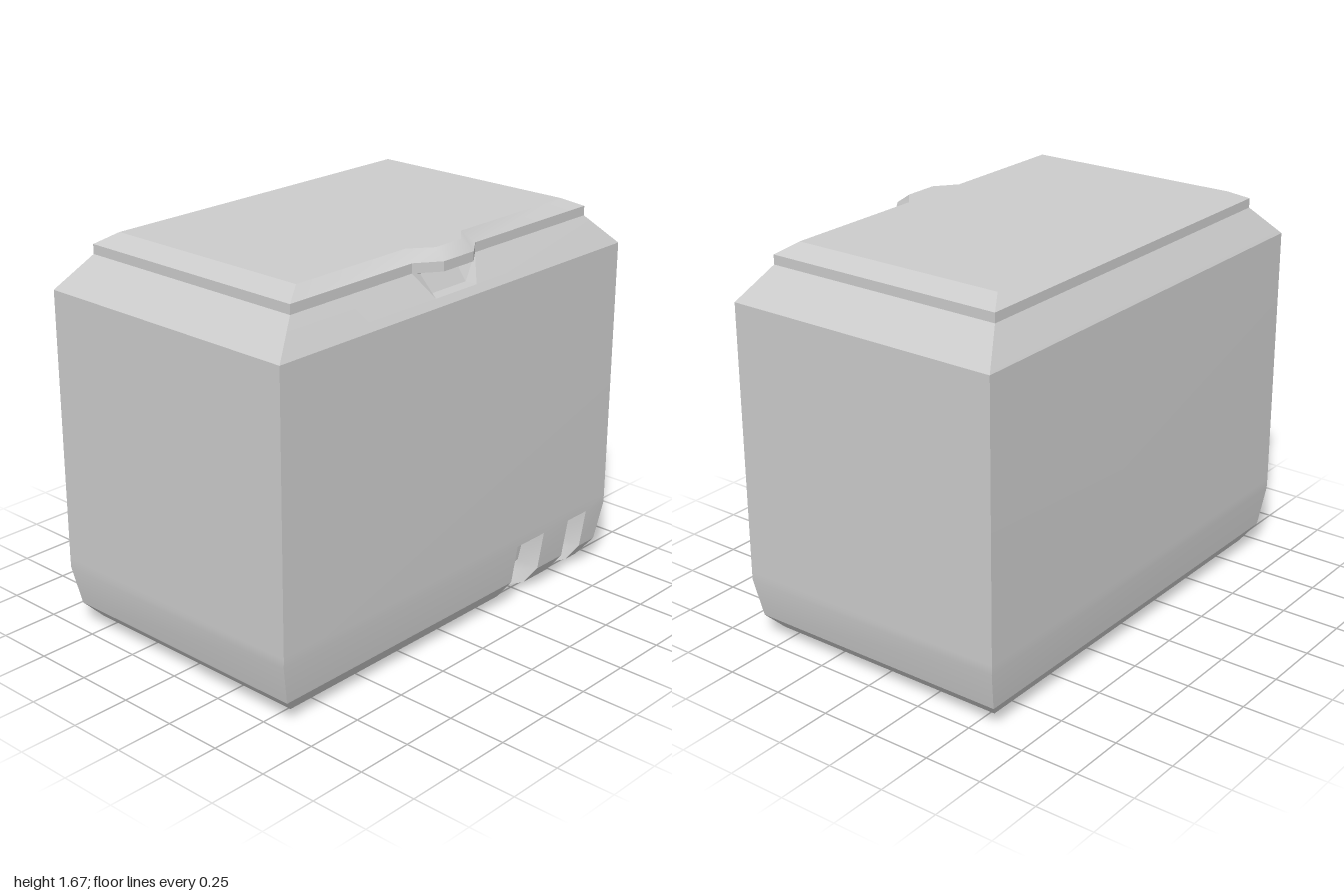
import * as THREE from 'three';
import { toCreasedNormals } from 'three/addons/utils/BufferGeometryUtils.js';

const P = (x, y, z) => new THREE.Vector3(x, y, z);

// Collects faces for one part and turns them into a named mesh.
class Part {
  constructor(name) {
    this.name = name;
    this.pos = [];
  }
  tri(...pts) {
    for (const p of pts) this.pos.push(p.x, p.y, p.z);
  }
  // Joins two rows of points, each running left to right as seen from outside.
  strip(low, high, skip = []) {
    for (let i = 0; i < low.length - 1; i++) {
      if (skip.includes(i)) continue;
      this.tri(low[i], low[i + 1], high[i + 1]);
      this.tri(low[i], high[i + 1], high[i]);
    }
  }
  // Flat horizontal polygon facing up (dir 1) or down (dir -1).
  cap(pts, dir) {
    const flat = pts.map((p) => new THREE.Vector2(p.x, p.z));
    for (const t of THREE.ShapeUtils.triangulateShape(flat, [])) {
      const [a, b, c] = t.map((i) => pts[i]);
      const up = b.clone().sub(a).cross(c.clone().sub(a)).y;
      if (up * dir > 0) this.tri(a, b, c);
      else this.tri(a, c, b);
    }
  }
  mesh() {
    const g = new THREE.BufferGeometry();
    g.setAttribute('position', new THREE.Float32BufferAttribute(this.pos, 3));
    const m = new THREE.Mesh(toCreasedNormals(g, 0.42),
      new THREE.MeshStandardMaterial({ color: 0xcccccc }));
    m.name = this.name;
    return m;
  }
}

// Body cross-sections from bottom to shoulder: y, half width, half depth
const RINGS = [
  [0, 0.82, 0.47], [0.03, 0.9, 0.545], [0.1, 0.965, 0.592], [0.27, 1, 0.612],
  [0.31, 1, 0.613], [1.46, 1, 0.613], [1.49, 0.968, 0.594], [1.59, 0.862, 0.53],
];
const LID = [[1.59, 0.862, 0.53], [1.63, 0.862, 0.53], [1.67, 0.775, 0.475]];

// Right, back and left sides of a rectangular section
const sides = ([y, w, d]) => [P(w, y, d), P(w, y, -d), P(-w, y, -d), P(-w, y, d)];
// Front edge of a section, with extra points at the given x
const front = ([y, w, d], xs = []) => [-w, ...xs, w].map((x) => P(x, y, d));

// Grip slots follow the rounded lower corner
const SHIFT = [-0.07, -0.045, -0.01, 0, 0];
const slotX = (i) => [0.39, 0.57, 0.74, 0.87].map((x) => x + SHIFT[i]);
const SLOT_IN = [[0, 0.45], [0.05, 0.425], [0.11, 0.49], [0.23, 0.51]]; // y, z of the slot back
const SLOTS = [{ at: 0, inset: 0.06 }, { at: 2, inset: 0.04 }];

// One slot row: outer left, inner left, inner right, outer right
function slotRow(slot, i) {
  const [l, r] = slotX(i).slice(slot.at, slot.at + 2);
  const [y, , d] = RINGS[i];
  const [yi, zi] = SLOT_IN[i];
  const inset = i === 0 ? 0 : slot.inset;
  return [P(l, y, d), P(l + inset, yi, zi), P(r - 0.005, yi, zi), P(r, y, d)];
}

function makeBody() {
  const part = new Part('body');
  for (let i = 0; i < RINGS.length - 1; i++) {
    const a = RINGS[i], b = RINGS[i + 1];
    part.strip(sides(a), sides(b));
    if (i < 4) part.strip(front(a, slotX(i)), front(b, slotX(i + 1)), i < 3 ? [1, 3] : []);
    else if (i === 6) part.strip(front(a, [-0.15, 0.09]), front(b, [-0.215, 0.155]), [1]);
    else part.strip(front(a), front(b));
  }
  // Underside, nicked by the slots
  const [y, w, d] = RINGS[0];
  part.cap([P(-w, y, -d), P(-w, y, d), ...SLOTS.flatMap((s) => slotRow(s, 0)),
    P(w, y, d), P(w, y, -d)], -1);
  return part.mesh();
}

function makeSlot(slot) {
  const part = new Part('gripSlot');
  const rows = [0, 1, 2, 3].map((i) => slotRow(slot, i));
  for (let i = 0; i < 3; i++) part.strip(rows[i], rows[i + 1]);
  const [ol, il, ir, or] = rows[3];
  part.strip([il, ir], [ol, or]);
  return part.mesh();
}

// Finger pocket sunk into the sloping shoulder
function makePocket() {
  const part = new Part('fingerPocket');
  const low = [P(-0.15, 1.49, 0.594), P(-0.15, 1.49, 0.54), P(0.09, 1.49, 0.54), P(0.09, 1.49, 0.594)];
  const high = [P(-0.215, 1.59, 0.53), P(-0.135, 1.565, 0.5), P(0.075, 1.565, 0.5), P(0.155, 1.59, 0.53)];
  part.strip(low, high);
  part.strip([low[0], low[3]], [low[1], low[2]]);
  part.strip([high[1], high[2]], [high[0], high[3]]);
  return part.mesh();
}

// Lid with a bevelled rim and a thumb tab at the front
function makeLid() {
  const part = new Part('lid');
  const tabs = [[-0.215, -0.115, 0.06, 0.155], [-0.215, -0.115, 0.06, 0.155], [-0.19, -0.1, 0.05, 0.135]];
  const edges = LID.map((ring, i) => {
    const row = front(ring, tabs[i]);
    row[2].z += 0.07;
    row[3].z += 0.07;
    return row;
  });
  for (let i = 0; i < 2; i++) {
    part.strip(sides(LID[i]), sides(LID[i + 1]));
    part.strip(edges[i], edges[i + 1]);
  }
  part.cap(edges[0].slice(1, 5), -1);
  const [y, w, d] = LID[2];
  part.cap([P(-w, y, -d), ...edges[2], P(w, y, -d)], 1);
  return part.mesh();
}

export function createModel() {
  const group = new THREE.Group();
  group.name = 'lunchBox';
  group.add(makeBody(), makePocket(), makeLid(), ...SLOTS.map(makeSlot));
  return group;
}
